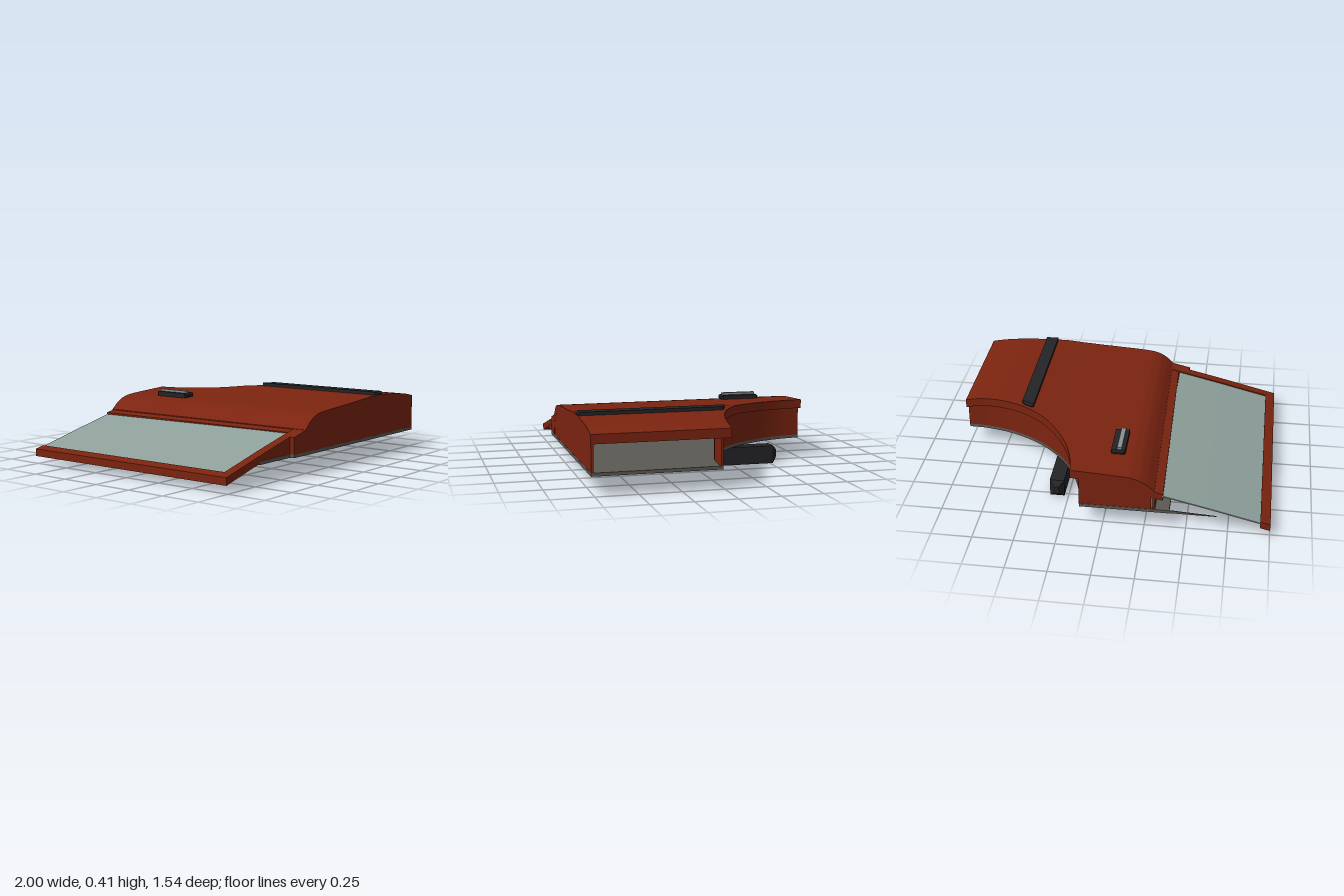
import * as THREE from 'three';

const mat = (name, color, side = THREE.FrontSide) => {
  const m = new THREE.MeshStandardMaterial({ color, side });
  m.name = name;
  return m;
};

// Piecewise height curve through [x, y] points
const curve = (pts) => (x) => {
  let i = 1;
  while (i < pts.length - 1 && x > pts[i][0]) i++;
  const [a, b] = [pts[i - 1], pts[i]];
  return a[1] + (b[1] - a[1]) * (x - a[0]) / (b[0] - a[0]);
};

const FRONT = 0.77, BACK = -0.77;
const deckTop = curve([[-0.3, 0.262], [-0.275, 0.285], [-0.25, 0.308], [-0.21, 0.333], [-0.16, 0.349],
  [-0.1, 0.356], [0, 0.363], [0.2, 0.374], [0.35, 0.384], [0.45, 0.393], [0.6, 0.394], [0.8, 0.382], [0.92, 0.367], [1, 0.35]]);
const frameTop = curve([[-1, 0.09], [-0.64, 0.18], [-0.4, 0.237], [-0.28, 0.265]]);
const frameBottom = curve([[-1, 0.045], [-0.72, 0.116], [-0.62, 0.135], [-0.28, 0.135]]);

// Wheel arch cut-out, a circle seen from above
const archX = 0.98, archZ = -0.83;
const arch = (r) => (x) => archZ + Math.sqrt(Math.max(0, r * r - (x - archX) ** 2));
const archStart = (r) => archX - Math.sqrt(r * r - (BACK - archZ) ** 2);

const fn = (v) => (typeof v === 'function' ? v : () => v);

// Slab whose height and depth limits follow functions of x
function slab(x0, x1, z0, z1, y0, y1, { n = 24, ease = 1, lean = 0 } = {}) {
  const [za, zb, ya, yb] = [z0, z1, y0, y1].map(fn);
  const g = new THREE.BoxGeometry(1, 1, 1, n, 1, 1);
  const p = g.attributes.position;
  for (let i = 0; i < p.count; i++) {
    const x = x0 + (x1 - x0) * Math.pow(Math.max(0, p.getX(i) + 0.5), ease);
    const z = p.getZ(i) > 0 ? zb(x) : za(x);
    const y = p.getY(i) > 0 ? yb(x) : ya(x);
    p.setXYZ(i, x + lean * z * Math.max(0, 1 - (x + 0.3) / 0.3), y, z);
  }
  g.computeVertexNormals();
  return g;
}

// Bar along z with a chamfered section and chamfered ends
function chamferBar(w, h, len, c) {
  const a = w / 2 - c, b = h / 2 - c;
  const s = new THREE.Shape([[-a, -b], [a, -b], [a, b], [-a, b]].map(([x, y]) => new THREE.Vector2(x, y)));
  const g = new THREE.ExtrudeGeometry(s, {
    depth: len - 2 * c, bevelEnabled: true, bevelThickness: c, bevelSize: c, bevelSegments: 1,
  });
  return g.translate(0, 0, -(len - 2 * c) / 2);
}

export function createModel() {
  const group = new THREE.Group();
  const paint = mat('rust red paint', 0x7c2410, THREE.DoubleSide);
  const glass = mat('window glass', 0x8fa19c, THREE.DoubleSide);
  const trim = mat('inner trim grey', 0x5c5954);
  const black = mat('black rubber', 0x242427);
  const chrome = mat('dull chrome', 0x8b9290);

  const add = (name, geo, material, x = 0, y = 0, z = 0) => {
    const m = new THREE.Mesh(geo, material);
    m.name = name;
    m.position.set(x, y, z);
    group.add(m);
    return m;
  };

  // Outer skin, with a lip overhanging the wheel arch
  const skinUnder = (x) => deckTop(x) - 0.055;
  const lipR = 0.79, wallR = 0.84;
  const lipX = archStart(lipR), wallX = archStart(wallR);
  add('outerSkin', slab(-0.295, lipX, BACK, FRONT, skinUnder, deckTop, { n: 48, lean: 0.019 }), paint);
  add('archSkin', slab(lipX, 1, arch(lipR), FRONT, skinUnder, deckTop, { n: 36, ease: 2 }), paint);

  // Walls of the hollow body, open at the hinge end
  const wallTop = (x) => deckTop(x) - 0.03;
  add('frontWall', slab(-0.28, 1, 0.755, FRONT - 0.001, 0.135, wallTop, { n: 40 }), paint);
  add('frontWallCorner', slab(-0.4, -0.27, 0.735, FRONT, 0.135, frameTop, { n: 4 }), paint);
  add('backWall', slab(-0.29, wallX, BACK + 0.002, BACK + 0.015, 0.135, wallTop), paint);
  add('archWall', slab(wallX, 1, arch(wallR), (x) => arch(wallR)(x) + 0.012, 0.135, wallTop, { n: 36, ease: 2 }), paint);
  add('sillWall', slab(-0.315, -0.3, BACK + 0.005, 0.74, 0.135, 0.25, { n: 1 }), paint);

  // Inner trim board
  add('trimBoard', slab(-0.4, wallX, BACK, FRONT, 0.115, 0.135, { n: 1 }), trim);
  add('trimBoardArch', slab(wallX, 1, arch(wallR), FRONT, 0.115, 0.135, { n: 36, ease: 2 }), trim);
  add('frontTrimEdge', slab(-0.7, -0.4, 0.732, 0.742, 0.115, 0.135, { n: 1 }), trim);
  add('backTrimEdge', slab(-0.68, -0.4, BACK, BACK + 0.006, 0.117, curve([[-0.68, 0.119], [-0.4, 0.135]]), { n: 1 }), trim);

  // Window frame and glass
  const railUnder = (x) => frameTop(x) - 0.045;
  add('frameTopRail', slab(-1, -0.94, BACK, 0.74, railUnder, frameTop, { n: 2 }), paint);
  add('frameSideRail', slab(-0.94, -0.28, 0.68, 0.74, frameBottom, frameTop, { n: 20 }), paint);
  add('frameSillRail', slab(-0.345, -0.28, BACK, 0.74, railUnder, frameTop, { n: 4, lean: 0.019 }), paint);
  add('windowGlass', slab(-0.945, -0.335, BACK, 0.685,
    (x) => frameTop(x) - 0.016, (x) => frameTop(x) - 0.008, { n: 16 }), glass);

  // Rubbing strip with its back end following the arch
  const strip = chamferBar(0.08, 0.03, 0.9, 0.012);
  const sp = strip.attributes.position;
  for (let i = 0; i < sp.count; i++) if (sp.getZ(i) < 0) sp.setZ(i, sp.getZ(i) + sp.getX(i) * 0.5);
  strip.computeVertexNormals();
  add('rubbingStrip', strip, black, 0.57, 0.399, 0.32);

  // Outer handle
  add('handleBase', chamferBar(0.085, 0.032, 0.25, 0.01), black, -0.065, 0.37, -0.425);
  add('handleGrip', new THREE.BoxGeometry(0.028, 0.018, 0.22), chrome, -0.072, 0.391, -0.425);

  // Inner pull
  add('innerPull', chamferBar(0.09, 0.112, 0.65, 0.03), black, 0.32, 0.056, -0.225);

  // Inner release lever in its bezel
  add('leverBezel', new THREE.BoxGeometry(0.09, 0.012, 0.165), black, 0.1, 0.11, 0.298);
  add('releaseLever', new THREE.BoxGeometry(0.045, 0.008, 0.11), chrome, 0.1, 0.102, 0.298);

  // Window crank
  add('crankHub', new THREE.CylinderGeometry(0.06, 0.06, 0.025, 16), chrome, 0.16, 0.103, -0.14);
  add('crankArm', new THREE.BoxGeometry(0.035, 0.012, 0.15), chrome, 0.163, 0.088, -0.2);
  add('crankStem', new THREE.CylinderGeometry(0.01, 0.01, 0.03, 10), chrome, 0.165, 0.076, -0.26);
  add('crankKnob', new THREE.CylinderGeometry(0.022, 0.022, 0.052, 12), black, 0.165, 0.045, -0.26);

  return group;
}
